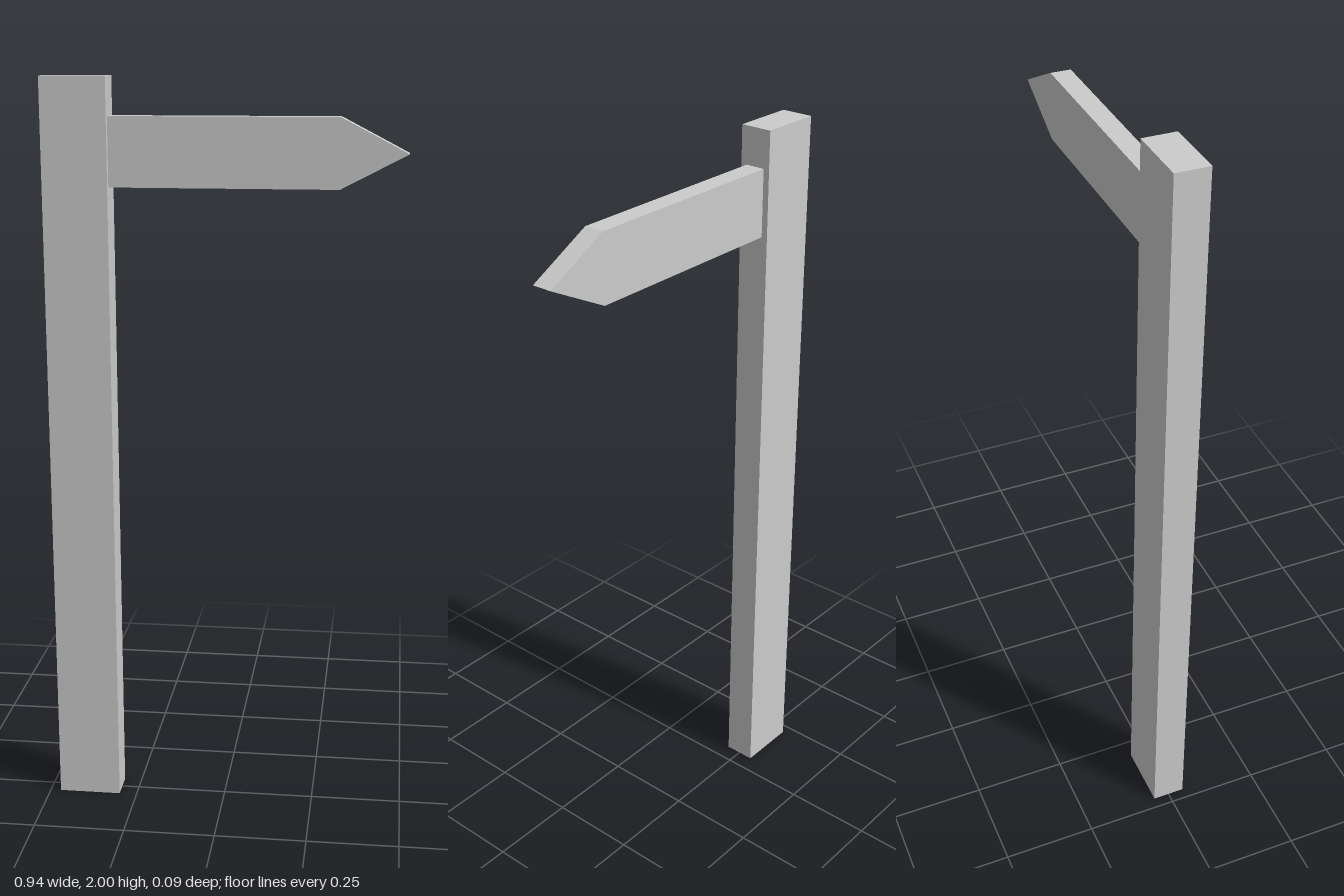
import * as THREE from 'three';

export function createModel() {
  const group = new THREE.Group();
  const material = new THREE.MeshStandardMaterial({ color: 0xcccccc, flatShading: true });

  // Upright plank
  const post = new THREE.Mesh(new THREE.BoxGeometry(0.172, 2, 0.088), material);
  post.name = 'post';
  post.position.set(-0.385, 1, 0);
  group.add(post);

  // Pointed board, butted against the post
  const depth = 0.054;
  const outline = new THREE.Shape([
    [-0.299, 1.72], [0.297, 1.72], [0.471, 1.81], [0.297, 1.9], [-0.299, 1.9],
  ].map(([x, y]) => new THREE.Vector2(x, y)));
  const boardGeometry = new THREE.ExtrudeGeometry(outline, { depth, bevelEnabled: false });
  boardGeometry.translate(0, 0, -depth / 2);
  const board = new THREE.Mesh(boardGeometry, material);
  board.name = 'arrowBoard';
  group.add(board);

  return group;
}
